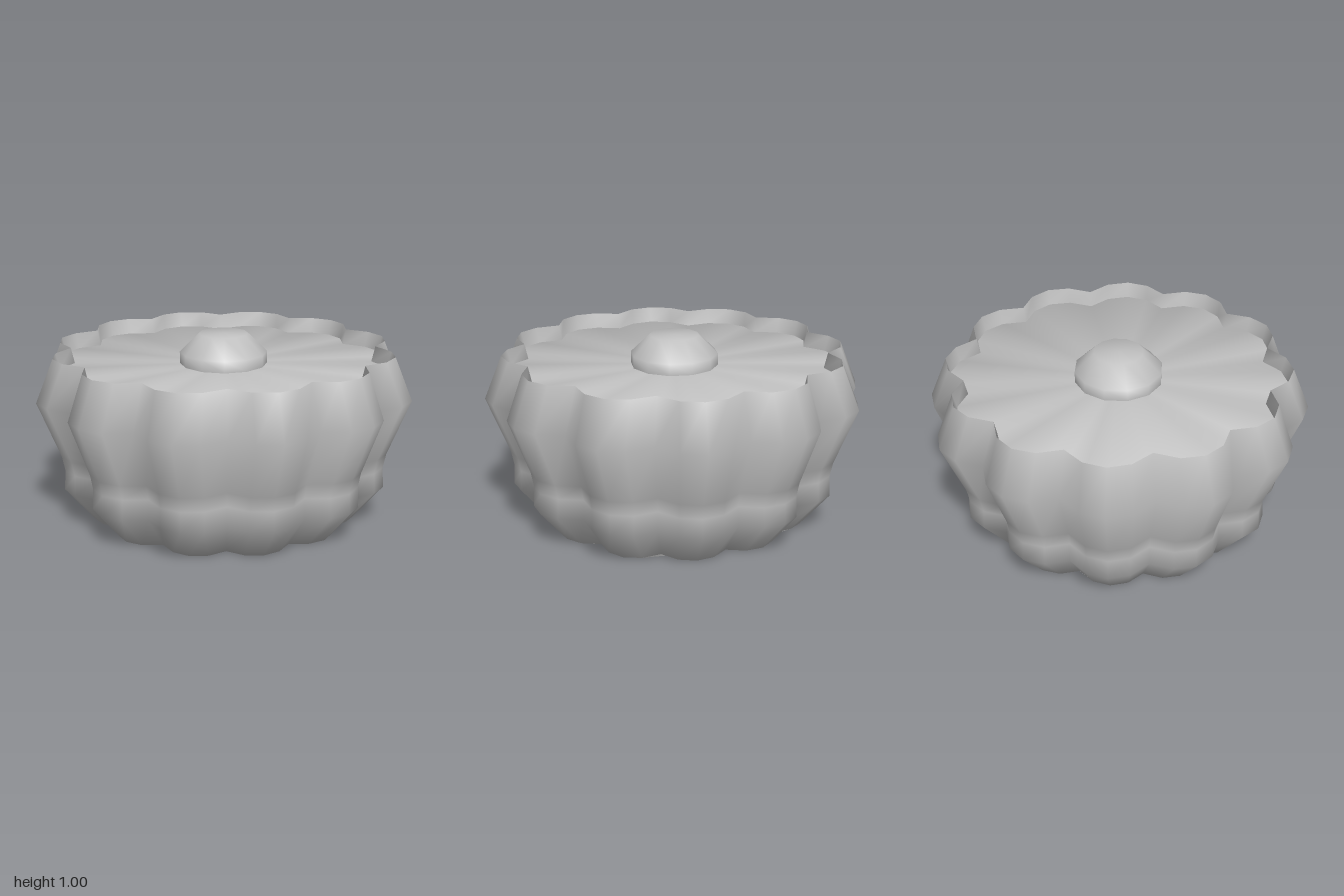
import * as THREE from 'three';

const LOBE = [0.92, 1.006, 1.036, 1.006]; // one flute, from notch to notch
const SIDES = 12 * LOBE.length;

// Lofts the fluted outline through [scale, y] rings; smooth shared normals.
function flutedLoft(rings, { fanFrom = -1, capTop = false } = {}) {
  const pos = [], index = [];
  for (const [scale, y] of rings) {
    for (let i = 0; i < SIDES; i++) {
      const a = (i / SIDES) * Math.PI * 2;
      const r = LOBE[i % LOBE.length] * scale;
      pos.push(Math.sin(a) * r, y, Math.cos(a) * r);
    }
  }
  for (let j = 0; j < rings.length - 1; j++) {
    for (let i = 0; i < SIDES; i++) {
      const n = (i + 1) % SIDES;
      const a = j * SIDES + i, b = j * SIDES + n;
      index.push(a, b, b + SIDES, a, b + SIDES, a + SIDES);
    }
  }
  // underside fanned from one notch
  if (fanFrom >= 0) {
    for (let k = 1; k < SIDES - 1; k++) {
      index.push(fanFrom, (fanFrom + k + 1) % SIDES, (fanFrom + k) % SIDES);
    }
  }
  // upper face fanned from its centre
  if (capTop) {
    const last = (rings.length - 1) * SIDES;
    const centre = pos.length / 3;
    pos.push(0, rings[rings.length - 1][1], 0);
    for (let i = 0; i < SIDES; i++) index.push(last + i, last + ((i + 1) % SIDES), centre);
  }
  const geo = new THREE.BufferGeometry();
  geo.setAttribute('position', new THREE.Float32BufferAttribute(pos, 3));
  geo.setIndex(index);
  geo.computeVertexNormals();
  return geo;
}

export function createModel() {
  const group = new THREE.Group();
  group.name = 'flutedBowl';
  const grey = new THREE.MeshStandardMaterial({ color: 0xc0c0c0 });
  grey.name = 'lightGrey';

  const add = (name, geometry) => {
    const mesh = new THREE.Mesh(geometry, grey);
    mesh.name = name;
    group.add(mesh);
  };

  // Outer wall and underside
  add('outerWall', flutedLoft([
    [0.715, 0], [0.87, 0.19], [0.864, 0.3], [0.88, 0.38], [1, 0.69], [0.907, 0.925],
  ], { fanFrom: 20 }));

  // Inside of the rim
  add('innerLip', flutedLoft([[0.907, 0.925], [0.885, 0.835]]));

  // Recessed filling with its hidden skirt
  add('filling', flutedLoft([[0.885, 0.58], [0.885, 0.84]], { capTop: true }));

  // Low twelve-sided knob in the middle
  const profile = [[0.24, 0.84], [0.24, 0.903], [0.135, 1.005], [0, 1.005]]
    .map(([x, y]) => new THREE.Vector2(x, y));
  add('centreKnob', new THREE.LatheGeometry(profile, 12));

  return group;
}
